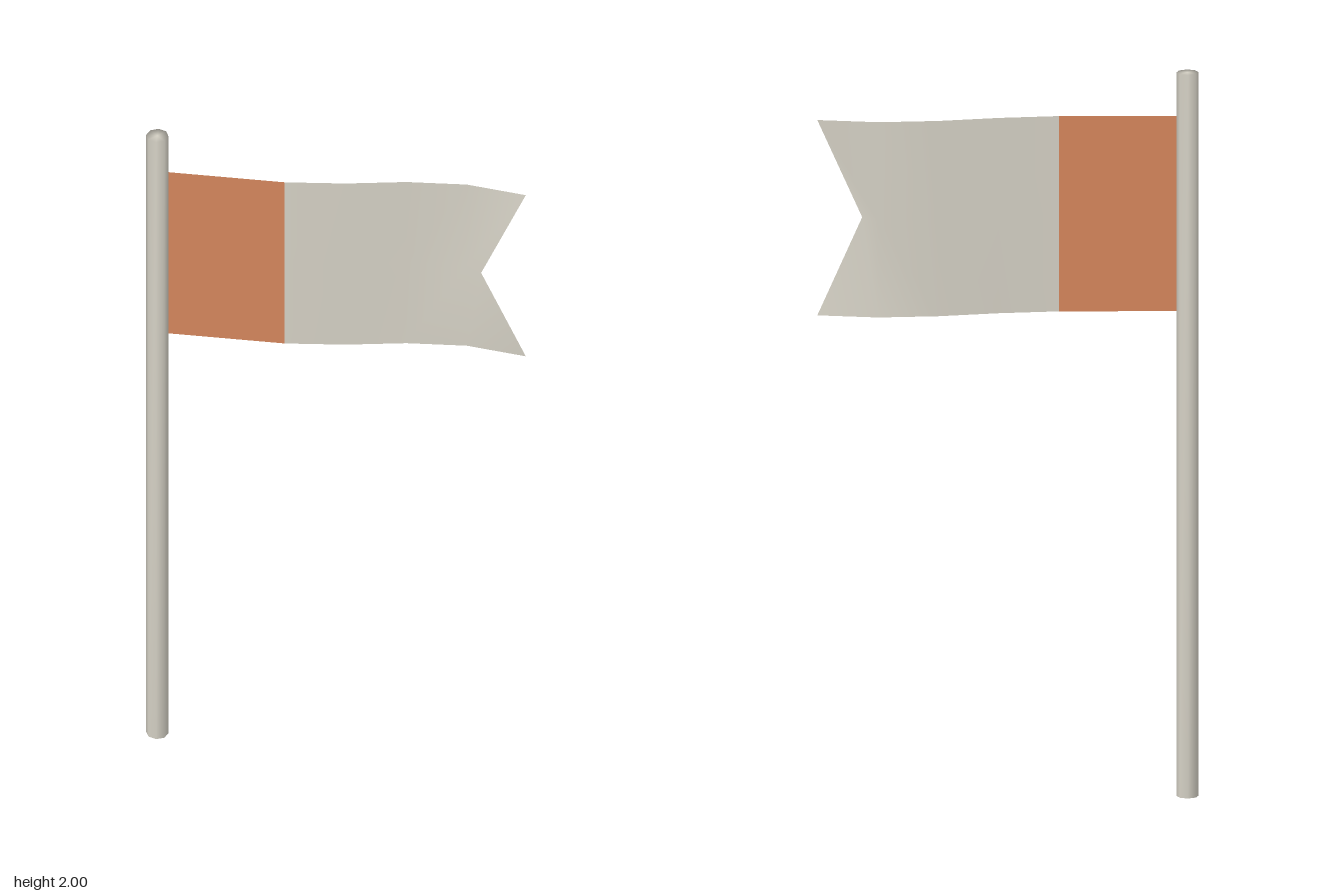
import * as THREE from 'three';
import { mergeVertices } from 'three/addons/utils/BufferGeometryUtils.js';

const cream = new THREE.MeshStandardMaterial({ color: 0xd6d2c6, side: THREE.DoubleSide });
cream.name = 'cream';
const orange = new THREE.MeshStandardMaterial({ color: 0xd4865c, side: THREE.DoubleSide });
orange.name = 'orange';

const POLE_X = -0.48, POLE_R = 0.03;
const HOIST_X = -0.46, FLY_X = 0.51;
const FLAG_BOTTOM = 1.34, FLAG_TOP = 1.88, NOTCH = 0.12;

// Ripple that grows from the pole towards the free end
const ripple = (u) => 0.0415 * u * Math.sin(u * Math.PI * 2);

// Strip of cloth between two fractions of the flag length
function clothStrip(u0, u1, columns) {
  const geometry = new THREE.PlaneGeometry(1, 1, columns, 2);
  const p = geometry.attributes.position;
  for (let i = 0; i < p.count; i++) {
    const u = u0 + (u1 - u0) * (p.getX(i) + 0.5);
    const v = p.getY(i);
    // The middle of the free edge is pulled in to make the swallowtail
    const inset = u > 0.999 && Math.abs(v) < 0.01 ? NOTCH : 0;
    p.setXYZ(
      i,
      THREE.MathUtils.lerp(HOIST_X, FLY_X, u) - inset,
      THREE.MathUtils.lerp(FLAG_BOTTOM, FLAG_TOP, v + 0.5),
      ripple(u)
    );
  }
  geometry.computeVertexNormals();
  return geometry;
}

// Octagonal pole, shaded smoothly over its rims
function poleGeometry() {
  const geometry = new THREE.CylinderGeometry(POLE_R, POLE_R, 2, 8);
  geometry.deleteAttribute('normal');
  geometry.deleteAttribute('uv');
  const merged = mergeVertices(geometry);
  merged.computeVertexNormals();
  return merged;
}

export function createModel() {
  const model = new THREE.Group();
  model.name = 'flagOnPole';
  const add = (name, geometry, material) => {
    const mesh = new THREE.Mesh(geometry, material);
    mesh.name = name;
    model.add(mesh);
    return mesh;
  };

  add('pole', poleGeometry(), cream).position.set(POLE_X, 1, 0);
  add('flagHoistBand', clothStrip(0, 1 / 3, 2), orange);
  add('flagSwallowtail', clothStrip(1 / 3, 1, 4), cream);
  return model;
}
